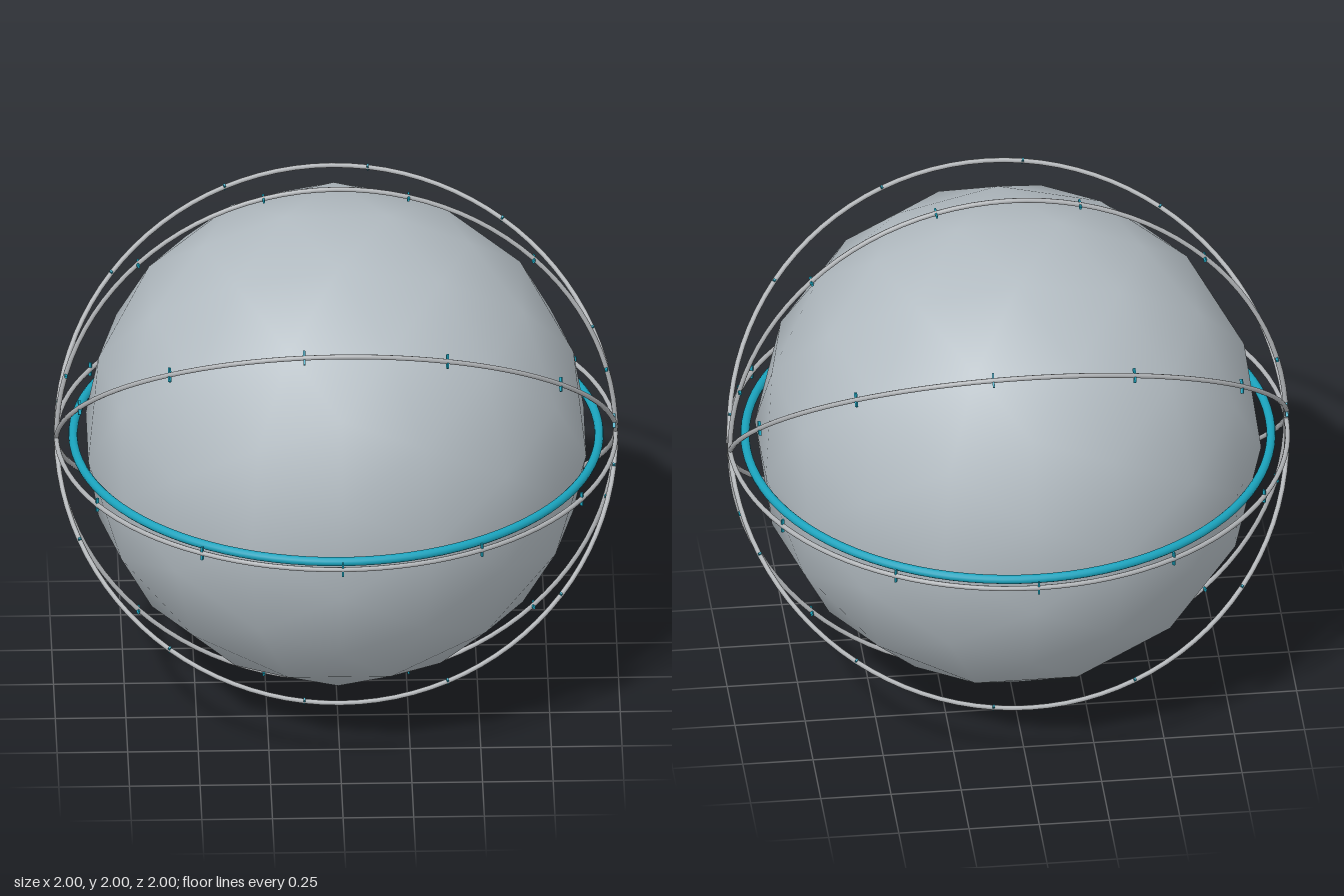
import * as THREE from 'three';

const paint = (name, color) => {
  const m = new THREE.MeshStandardMaterial({ color });
  m.name = name;
  return m;
};

export function createModel() {
  const shellGrey = paint('shellGrey', 0xb2bbc1);
  const ringGrey = paint('ringGrey', 0xb0b3b6);
  const teal = paint('teal', 0x1aa3bd);

  const model = new THREE.Group();
  model.name = 'ringedSphere';
  const add = (parent, name, geometry, material) => {
    const mesh = new THREE.Mesh(geometry, material);
    mesh.name = name;
    parent.add(mesh);
    return mesh;
  };

  // everything is centred one unit above the ground
  const body = new THREE.Group();
  body.name = 'body';
  body.position.y = 1;
  model.add(body);

  // smooth-shaded faceted core
  add(body, 'core', new THREE.IcosahedronGeometry(0.9, 2), shellGrey);

  // thick equator band
  add(body, 'equatorBand', new THREE.TorusGeometry(0.931, 0.016, 12, 96), teal).rotation.x = Math.PI / 2;

  // four thin rings sharing the x axis, each with twelve tick marks
  const R = 0.99;
  const ringGeometry = new THREE.TorusGeometry(R, 0.009, 8, 96);
  const tickGeometry = new THREE.BoxGeometry(0.007, 0.01, 0.052);
  const rings = [
    { name: 'level', tilt: 90, offset: 0 },
    { name: 'upperFront', tilt: 45, offset: -7.5 },
    { name: 'upright', tilt: 0, offset: 15 },
    { name: 'lowerFront', tilt: 135, offset: -7.5 },
  ];
  for (const { name, tilt, offset } of rings) {
    const ring = new THREE.Group();
    ring.name = name + 'Ring';
    ring.rotation.x = THREE.MathUtils.degToRad(tilt); // swings the ring's top toward +z
    add(ring, name + 'Hoop', ringGeometry, ringGrey);
    for (let k = 0; k < 12; k++) {
      const a = THREE.MathUtils.degToRad(offset + 30 * k);
      const tick = add(ring, name + 'Tick', tickGeometry, teal);
      tick.position.set(R * Math.sin(a), R * Math.cos(a), 0);
      tick.rotation.z = -a;
    }
    body.add(ring);
  }
  return model;
}
